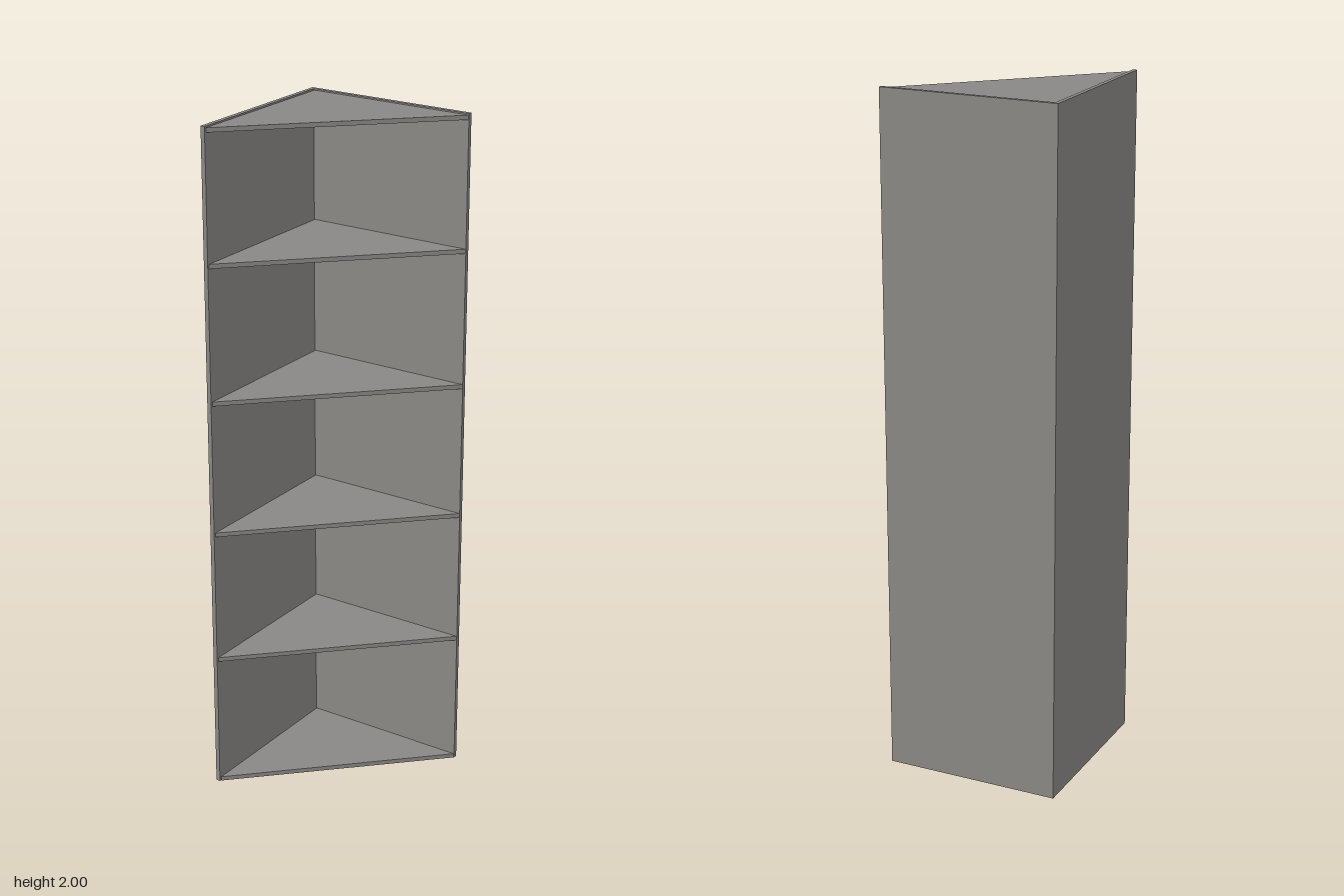
import * as THREE from 'three';

const HEIGHT = 2, HALF = 0.261, PANEL = 0.013;

export function createModel() {
  const model = new THREE.Group();
  model.name = 'cornerShelf';
  const material = new THREE.MeshStandardMaterial({ color: 0x8a8885, flatShading: true });

  const add = (name, geometry, x, y, z) => {
    const mesh = new THREE.Mesh(geometry, material);
    mesh.name = name;
    mesh.position.set(x, y, z);
    model.add(mesh);
  };

  // Two upright panels meeting at the rear right corner
  add('sidePanel', new THREE.BoxGeometry(PANEL, HEIGHT, 2 * HALF),
    -HALF + PANEL / 2, HEIGHT / 2, 0);
  add('backPanel', new THREE.BoxGeometry(2 * HALF - PANEL, HEIGHT, PANEL),
    PANEL / 2, HEIGHT / 2, -HALF + PANEL / 2);

  // Triangular boards, with a hairline gap beside the panels
  const inner = -HALF + PANEL, gap = 0.002;
  const triangle = new THREE.Shape([
    new THREE.Vector2(inner + gap, -inner),
    new THREE.Vector2(inner + gap, -0.257),
    new THREE.Vector2(0.26, -inner),
  ]);
  const board = new THREE.ExtrudeGeometry(triangle, { depth: PANEL, bevelEnabled: false });
  board.rotateX(-Math.PI / 2);

  // The top board sits just below the upper edges of the panels
  const levels = [0, 0.402, 0.803, 1.204, 1.605, 1.983];
  levels.forEach((y, i) => {
    const name = i === 0 ? 'bottomBoard' : i === levels.length - 1 ? 'topBoard' : `shelf${i}`;
    add(name, board, 0, y, 0);
  });

  return model;
}
